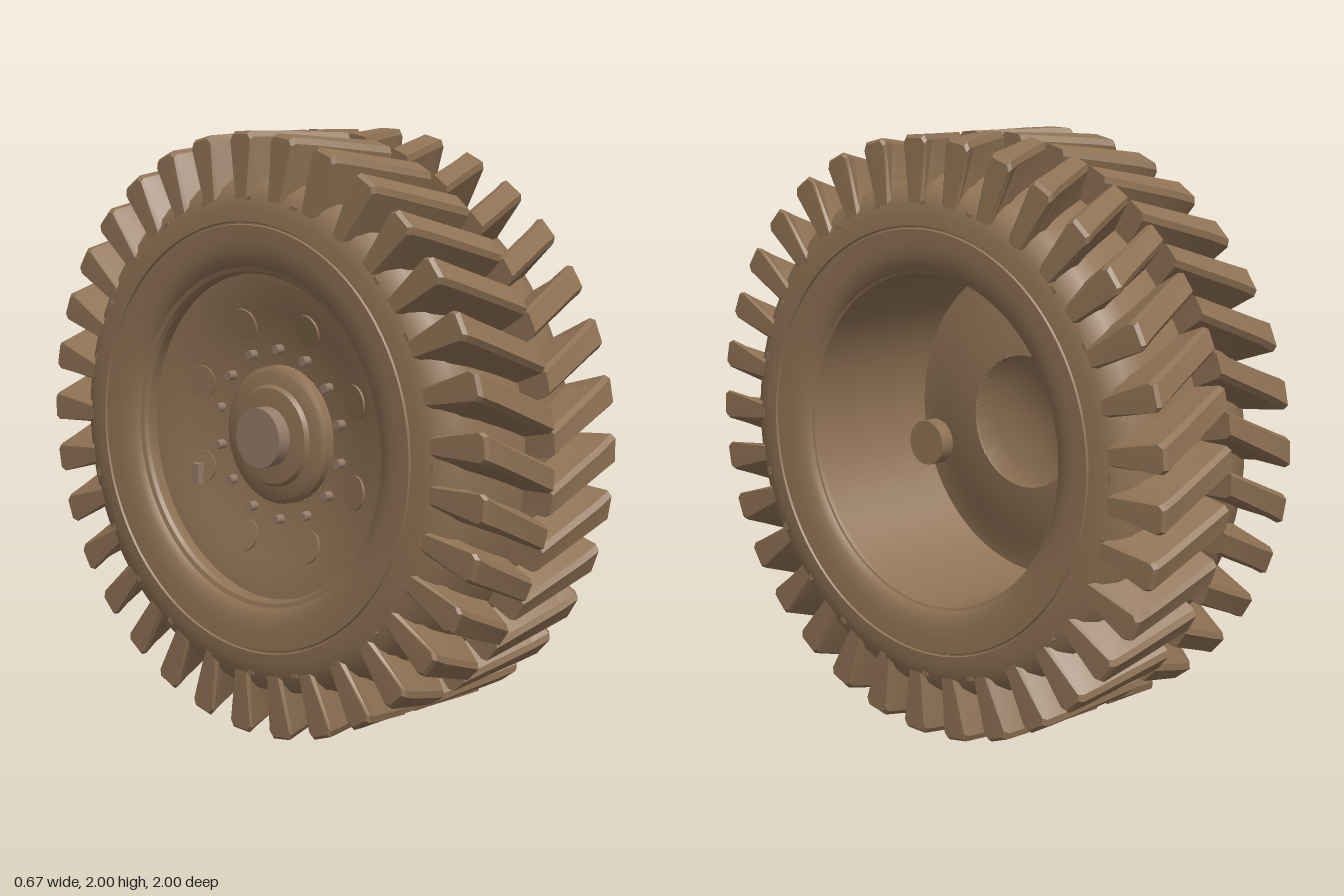
import * as THREE from 'three';
import { toCreasedNormals } from 'three/addons/utils/BufferGeometryUtils.js';

const paint = (name, hex) => {
  const m = new THREE.MeshStandardMaterial({ color: hex, side: THREE.DoubleSide });
  m.name = name;
  return m;
};

// Revolve [radius, x] points around the x axle
function turned(points, segments = 96) {
  const g = new THREE.LatheGeometry(points.map(([r, x]) => new THREE.Vector2(r, x)), segments);
  g.rotateZ(-Math.PI / 2);
  return toCreasedNormals(g, 0.5);
}

// One row of slanted tread lugs on one side of the tyre
function lugRow(side, count, phaseDeg) {
  // top x, base x, base radius, half width at top and base, angle in degrees
  const sections = [
    [0, 0.004, 0.86, 0.044, 0.052, -8],
    [0.25, 0.25, 0.84, 0.046, 0.054, -1.8],
    [0.312, 0.318, 0.80, 0.050, 0.036, -0.2],
    [0.324, 0.331, 0.785, 0.045, 0.024, 0],
  ];
  const top = 1, bevel = 0.018, pos = [];
  const point = (x, r, w, a) => {
    const t = a + w / r;
    return [side * x, r * Math.sin(t), r * Math.cos(t)];
  };
  const tri = (a, b, c) => pos.push(...a, ...(side > 0 ? b : c), ...(side > 0 ? c : b));
  for (let i = 0; i < count; i++) {
    const rings = sections.map(([xt, xb, rb, ht, hb, deg], k) => {
      const a = THREE.MathUtils.degToRad(phaseDeg + deg + (i * 360) / count);
      const rt = k === 3 ? top - 0.01 : top;
      return [
        point(xb, rb, -hb, a), point(xt, rt - bevel, -ht, a), point(xt, rt, -ht + bevel * 0.7, a),
        point(xt, rt, ht - bevel * 0.7, a), point(xt, rt - bevel, ht, a), point(xb, rb, hb, a),
      ];
    });
    for (let k = 0; k < rings.length - 1; k++) {
      const a = rings[k], b = rings[k + 1];
      for (let j = 0; j < 5; j++) {
        tri(a[j], b[j], b[j + 1]);
        tri(a[j], b[j + 1], a[j + 1]);
      }
    }
    const first = rings[0], last = rings[rings.length - 1];
    for (let j = 1; j < 5; j++) {
      tri(first[0], first[j], first[j + 1]);
      tri(last[0], last[j + 1], last[j]);
    }
  }
  const g = new THREE.BufferGeometry();
  g.setAttribute('position', new THREE.Float32BufferAttribute(pos, 3));
  return toCreasedNormals(g, 0.4);
}

export function createModel() {
  const brown = paint('earth brown', 0x8f7254);
  const pale = paint('pale brown', 0x967c69);
  const wheel = new THREE.Group();
  wheel.name = 'wheel';
  wheel.position.y = 1;

  const add = (name, geometry, material = brown, parent = wheel) => {
    const m = new THREE.Mesh(geometry, material);
    m.name = name;
    parent.add(m);
    return m;
  };
  // Repeat a part around the axle
  const ring = (name, count, startDeg, geometry, x, r, material, tilt = 0) => {
    const g = new THREE.Group();
    g.name = name + 'Ring';
    wheel.add(g);
    for (let i = 0; i < count; i++) {
      const arm = new THREE.Group();
      arm.name = name + 'Arm';
      arm.rotation.x = THREE.MathUtils.degToRad(startDeg + (i * 360) / count);
      g.add(arm);
      const m = add(name, geometry, material, arm);
      m.position.set(x, r, 0);
      m.rotation.z = tilt;
    }
  };
  const axial = (r, length, sides = 32) => new THREE.CylinderGeometry(r, r, length, sides).rotateZ(Math.PI / 2);

  // Tyre carcass with a thin groove in each sidewall
  const half = [
    [0.556, -0.29], [0.566, -0.307], [0.585, -0.32], [0.615, -0.329], [0.65, -0.333], [0.700, -0.335],
    [0.703, -0.328], [0.708, -0.328], [0.711, -0.335], [0.75, -0.332], [0.785, -0.325],
    [0.82, -0.309], [0.85, -0.275], [0.87, -0.2], [0.879, -0.1],
  ];
  add('tyreCarcass', turned([...half, [0.882, 0], ...half.map(([r, x]) => [r, -x]).reverse()]));

  // Tread, two staggered rows meeting in a V
  add('leftTreadLugs', lugRow(1, 33, 0.5));
  add('rightTreadLugs', lugRow(-1, 33, 5));

  // Small sidewall marks
  const mark = new THREE.BoxGeometry(0.01, 0.014, 0.026);
  for (const s of [-1, 1]) ring('sidewallMark', 24, 0, mark, s * 0.323, 0.785, brown);

  // Rim barrel with a rolled lip at each edge
  add('rimBarrel', turned([
    [0.566, 0.303], [0.555, 0.298], [0.55, 0.285], [0.55, -0.235],
    [0.54, -0.26], [0.54, -0.285], [0.548, -0.297], [0.566, -0.303],
  ]));

  // Dished wheel disc, with a stepped hub outside and a bowl inside
  add('wheelDisc', turned([
    [0.55, -0.24], [0.5, -0.234], [0.42, -0.21], [0.3, -0.178], [0.23, -0.17],
  ]));
  add('hub', turned([
    [0.23, -0.17], [0.23, -0.2], [0.215, -0.212], [0.17, -0.22], [0.16, -0.234], [0.1, -0.24], [0, -0.242],
  ], 64));
  add('hubBowl', turned([[0.23, -0.17], [0.225, -0.175], [0.16, -0.2], [0.09, -0.22], [0, -0.23]], 64));
  ring('discCover', 8, 22.5, axial(0.056, 0.008, 24), -0.207, 0.385, brown, Math.atan(0.267));
  ring('hubBolt', 14, 0, axial(0.016, 0.03, 8), -0.194, 0.285, pale);

  // Hub cap, axle end and valve block
  add('hubCap', axial(0.1, 0.06), pale).position.x = -0.26;
  add('axleEnd', axial(0.073, 0.05)).position.x = 0.29;
  add('valveBlock', new THREE.BoxGeometry(0.03, 0.07, 0.03), pale).position.set(-0.222, -0.17, -0.36);

  const model = new THREE.Group();
  model.name = 'tractorWheel';
  model.add(wheel);
  return model;
}
